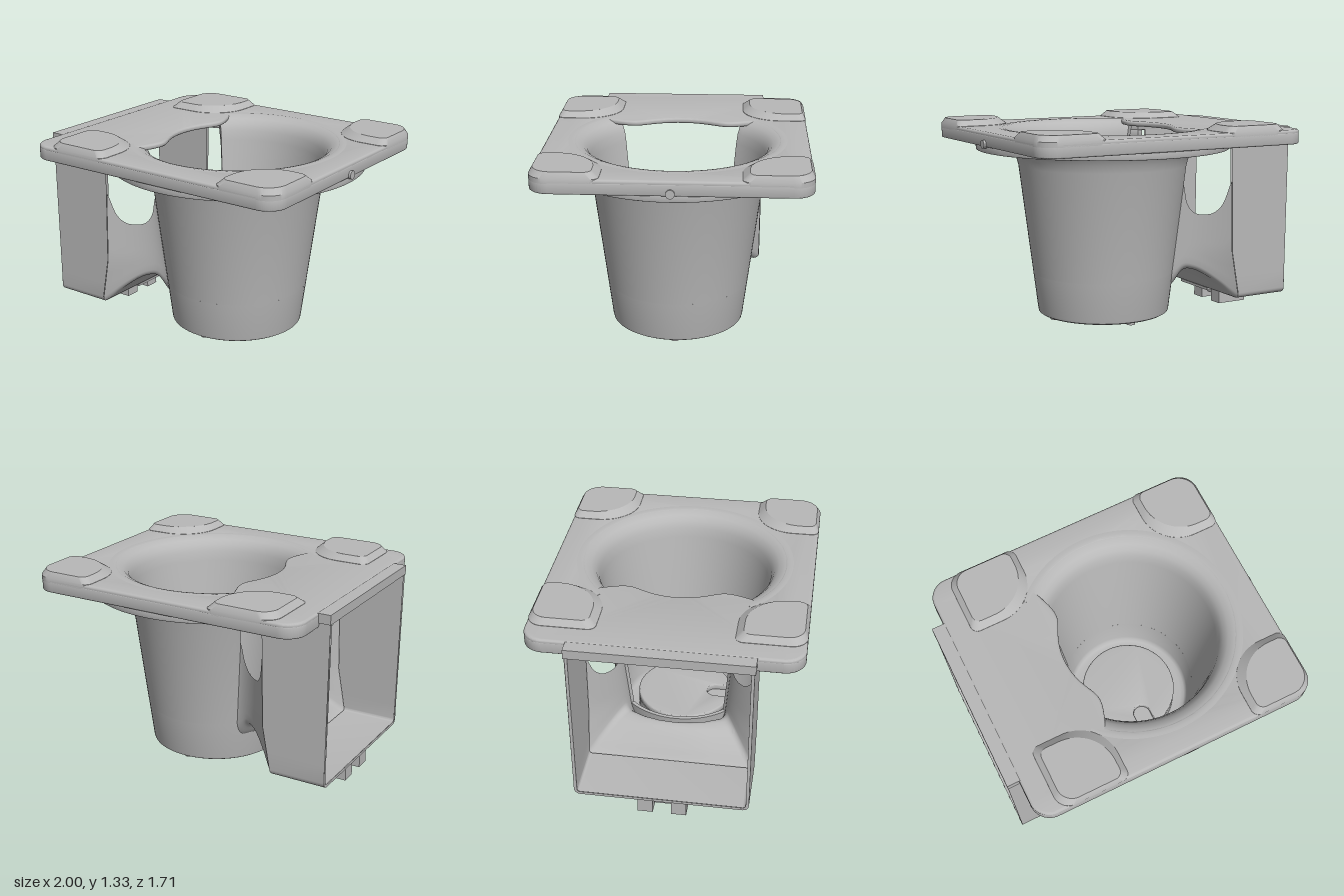
import * as THREE from 'three';
import { toCreasedNormals } from 'three/addons/utils/BufferGeometryUtils.js';

const CX = 0.125;            // cup axis
const OPEN = 0.75;           // half angle of the cup's side opening, towards -x
const LIP = 0.87;            // half angle of the plate lip above it
const Y0 = 0.32;             // height where the opening starts
const cupR = (y) => 0.445 + (y - 0.05) * 0.125;
const lerp = THREE.MathUtils.lerp;
const pts = (list) => list.map(([x, y]) => new THREE.Vector2(x, y));

// surface through rows of equally many [x, y, z] points
function loft(rows) {
  const m = rows[0].length, idx = [];
  for (let i = 0; i < rows.length - 1; i++) {
    for (let j = 0; j < m - 1; j++) {
      const p = i * m + j;
      idx.push(p, p + 1, p + m, p + 1, p + m + 1, p + m);
    }
  }
  const geo = new THREE.BufferGeometry();
  geo.setAttribute('position', new THREE.Float32BufferAttribute(rows.flat(2), 3));
  geo.setIndex(idx);
  return geo;
}

// horizontal slab: shape y becomes z, extruded downwards
function slab(shape, depth, bevel = 0) {
  const geo = new THREE.ExtrudeGeometry(shape, {
    depth: depth - 2 * bevel, bevelEnabled: bevel > 0, bevelSize: bevel,
    bevelThickness: bevel, bevelOffset: -bevel, bevelSegments: 3, curveSegments: 40,
  });
  return geo.translate(0, 0, bevel).rotateX(Math.PI / 2);
}

// rectangle with corner radii at (x0,z0), (x1,z0), (x1,z1), (x0,z1)
function roundRect(x0, x1, z0, z1, [a, b, c, d]) {
  const s = new THREE.Shape(), h = Math.PI / 2;
  s.absarc(x0 + a, z0 + a, a, 2 * h, 3 * h, false);
  s.absarc(x1 - b, z0 + b, b, 3 * h, 4 * h, false);
  s.absarc(x1 - c, z1 - c, c, 0, h, false);
  s.absarc(x0 + d, z1 - d, d, h, 2 * h, false);
  s.closePath();
  return s;
}

// cup mouth: wide round, stepping in to a lip over the side opening
function mouth() {
  const p = new THREE.Path();
  p.absarc(CX, 0, 0.66, Math.PI + LIP, 3 * Math.PI - LIP, false);
  for (let i = 1; i < 48; i++) {
    const u = i / 24 - 1, a = Math.PI + u * LIP, r = 0.46 + 0.2 * Math.abs(u) ** 9;
    p.lineTo(CX + r * Math.cos(a), r * Math.sin(a));
  }
  p.closePath();
  return p;
}

export function createModel() {
  const model = new THREE.Group();
  const grey = new THREE.MeshStandardMaterial({ color: 0xb8b8b8, side: THREE.DoubleSide });
  grey.name = 'grey plastic';

  function add(name, geo, x = 0, y = 0, z = 0) {
    const mesh = new THREE.Mesh(toCreasedNormals(geo, 0.6), grey);
    mesh.name = name;
    mesh.position.set(x, y, z);
    model.add(mesh);
  }
  const box = (name, x0, x1, y0, y1, z0, z1) =>
    add(name, new THREE.BoxGeometry(x1 - x0, y1 - y0, z1 - z0), (x0 + x1) / 2, (y0 + y1) / 2, (z0 + z1) / 2);

  // thin top plate with a deep border, hollow above the cup and the box
  const outline = () => roundRect(-0.92, 0.985, -0.857, 0.857, [0.13, 0.13, 0.13, 0.13]);
  const plate = outline(), border = outline(), hollow = new THREE.Path();
  plate.holes.push(mouth());
  add('topPlate', slab(plate, 0.036, 0.016), 0, 1.3, 0);
  const inner = Math.asin(0.548 / 0.81), outer = Math.asin(0.56 / 0.85);
  hollow.absarc(CX, 0, 0.81, Math.PI + inner, 3 * Math.PI - inner, false);
  hollow.lineTo(-0.9, 0.548);
  hollow.lineTo(-0.9, -0.548);
  hollow.closePath();
  border.holes.push(hollow);
  add('plateBorder', slab(border, 0.078, 0.008), 0, 1.283, 0);
  box('plateTab', -1, -0.9, 1.235, 1.297, -0.575, 0.575);

  // round rim hanging below the plate, ending at the box
  const rim = new THREE.Shape();
  rim.absarc(CX, 0, 0.85, Math.PI + outer, 3 * Math.PI - outer, false);
  rim.absarc(CX, 0, 0.81, 3 * Math.PI - inner, Math.PI + inner, true);
  rim.closePath();
  add('roundRim', slab(rim, 0.05, 0.006), 0, 1.212, 0);

  // raised corner pads: flush outer sides, sloped inner sides, large radius facing the cup
  function pad(name, base, top, radii) {
    const ring = (shape, y) => shape.getPoints(12).map((p) => [p.x, y, p.y]);
    const low = roundRect(...base, radii), high = roundRect(...top, radii);
    add(name, loft([ring(low, 1.27), ring(low, 1.302), ring(high, 1.34)]));
    add(name, slab(high, 0.01), 0, 1.34, 0);
  }
  for (const s of [-1, 1]) {
    const span = (near, far) => (s > 0 ? [near, far] : [-far, -near]);
    const base = span(0.425, 0.857), top = span(0.47, 0.835);
    pad('leftPad', [0.555, 0.985, ...base], [0.595, 0.965, ...top],
      s > 0 ? [0.26, 0.05, 0.125, 0.05] : [0.05, 0.125, 0.05, 0.26]);
    pad('rightPad', [-0.775, -0.305, ...base], [-0.74, -0.345, ...top],
      s > 0 ? [0.05, 0.26, 0.05, 0.1] : [0.1, 0.05, 0.26, 0.05]);
  }
  add('edgePin', new THREE.CylinderGeometry(0.028, 0.028, 0.04, 20).rotateZ(Math.PI / 2), 0.98, 1.222, 0);

  // cup base: full ring with floor and a raised hub, hollow below
  add('cupBase', new THREE.LatheGeometry(pts([
    [0, 0.17], [0.31, 0.17], [0.31, 0.045], [0.43, 0.04], [0.443, 0.048], [0.447, 0.065],
    [cupR(Y0), Y0], [cupR(Y0) - 0.025, Y0], [0.43, 0.13], [0.423, 0.105], [0.41, 0.09],
    [0.385, 0.083], [0.33, 0.082], [0.33, 0.18], [0, 0.18],
  ]), 72), CX, 0, 0);

  // cup wall: open towards the box, flaring out into the plate
  const wall = pts([
    [cupR(Y0), Y0], [cupR(1.05), 1.05], [0.583, 1.1], [0.6, 1.135], [0.62, 1.17], [0.65, 1.22],
    [0.69, 1.262], [0.74, 1.275], [0.74, 1.297], [0.7, 1.302], [0.66, 1.297], [0.622, 1.28],
    [0.592, 1.25], [0.572, 1.205], [0.56, 1.14], [cupR(Y0) - 0.025, Y0], [cupR(Y0), Y0],
  ]);
  const phi = 1.5 * Math.PI + OPEN;
  add('cupWall', new THREE.LatheGeometry(wall, 64, phi, 2 * Math.PI - 2 * OPEN), CX, 0, 0);
  for (const a of [phi, phi - 2 * OPEN]) {
    add('cupWallEnd', new THREE.ShapeGeometry(new THREE.Shape(wall)).rotateY(a - Math.PI / 2), CX, 0, 0);
  }

  // hub top with a key notch at the front
  const hub = new THREE.Shape(), notch = 0.06, na = Math.asin(notch / 0.33), quarter = Math.PI / 2;
  hub.absarc(0, 0, 0.33, quarter + na, 5 * quarter - na, false);
  hub.absarc(0, 0.22, notch, 0, Math.PI, true);
  hub.closePath();
  add('hubTop', slab(hub, 0.045, 0.01), CX, 0.222, 0);

  // four-armed post under the hub and four pegs under the rim
  const star = new THREE.Shape();
  for (let i = 0; i < 8; i++) {
    const a = (i * Math.PI) / 4, [rx, rz] = i % 2 ? [0.075, 0.075] : [0.14, 0.165];
    star[i ? 'lineTo' : 'moveTo'](rx * Math.cos(a), rz * Math.sin(a));
  }
  star.closePath();
  add('starPost', slab(star, 0.165), CX, 0.175, 0);
  for (let i = 0; i < 4; i++) {
    const a = (i * Math.PI) / 2;
    add('peg', new THREE.CylinderGeometry(0.027, 0.027, 0.04, 20),
      CX + 0.375 * Math.cos(a), 0.037, 0.375 * Math.sin(a));
  }

  // box beside the cup: U-shaped shell, open at the outer end, sloped towards the cup
  const edgeX = (y) => (y < 0.47 ? lerp(-0.61, -0.55, (y - 0.14) / 0.33) : lerp(-0.55, -0.535, (y - 0.47) / 0.74));
  function uLine(w, y, r) {
    const line = [];
    for (const top of [1.275, 0.9, 0.47, 0.3]) line.push([w, top]);
    for (let i = 0; i <= 5; i++) {
      const a = (i / 5) * quarter;
      line.push([w - r + r * Math.cos(a), y + r - r * Math.sin(a)]);
    }
    return [...line, ...line.map(([z, h]) => [-z, h]).reverse()];
  }
  const shell = [...uLine(0.568, 0.143, 0.04), ...uLine(0.548, 0.163, 0.02).reverse()];
  shell.push(shell[0]);
  const rimX = (y) => lerp(-0.985, -0.995, y);
  add('boxShell', loft([shell.map(([z, y]) => [rimX(y), y, z]), shell.map(([z, y]) => [edgeX(y), y, z])]));
  add('boxRim', new THREE.ShapeGeometry(new THREE.Shape(pts(shell))).rotateY(-quarter), -0.988, 0, 0);

  // feet under the box
  for (const s of [-1, 1]) {
    box('foot', -0.95, -0.73, 0.01, 0.15, s * 0.11 - 0.05, s * 0.11 + 0.05);
  }
  box('footWeb', -0.9, -0.78, 0.05, 0.15, -0.08, 0.08);
  box('footStep', -0.75, -0.62, 0.12, 0.15, -0.17, 0.17);

  // neck: U-shaped sections from box to cup, arched below, cut out above
  const heights = (list) => new THREE.SplineCurve(pts(list.map((y, i) => [i, y])));
  const low = heights([0.145, 0.23, 0.295, 0.33, 0.325, 0.23]);
  const high = heights([0.95, 0.8, 0.735, 0.718, 0.718, 0.74, 0.8, 0.92]);
  function section(c) {      // [height fraction, width fraction], corner size c
    const half = [];
    for (let i = 0; i < 8; i++) half.push([1 - (i / 8) * (1 - c), 1]);
    for (let i = 0; i <= 5; i++) {
      const a = (i / 5) * quarter;
      half.push([c * (1 - Math.sin(a)), 1 - c + c * Math.cos(a)]);
    }
    half.push([0, 0.6], [0, 0.3]);
    return [...half, [0, 0], ...half.map(([v, k]) => [v, -k]).reverse()];
  }
  const rows = [];
  for (let i = 0; i <= 32; i++) {
    const t = i / 32, y0 = low.getPoint(t).y, y1 = high.getPoint(t).y;
    rows.push(section(lerp(0.05, 0.14, t)).map(([v, k]) => {
      const y = lerp(y0, y1, v), R = cupR(y), endZ = R * Math.sin(OPEN) * k;
      const endX = CX - Math.sqrt(R * R - endZ * endZ);
      return [lerp(edgeX(y), endX, t), y, lerp(0.565 * k, endZ, 1 - (1 - t) ** 1.7)];
    }));
  }
  add('neck', loft(rows));

  return model;
}
